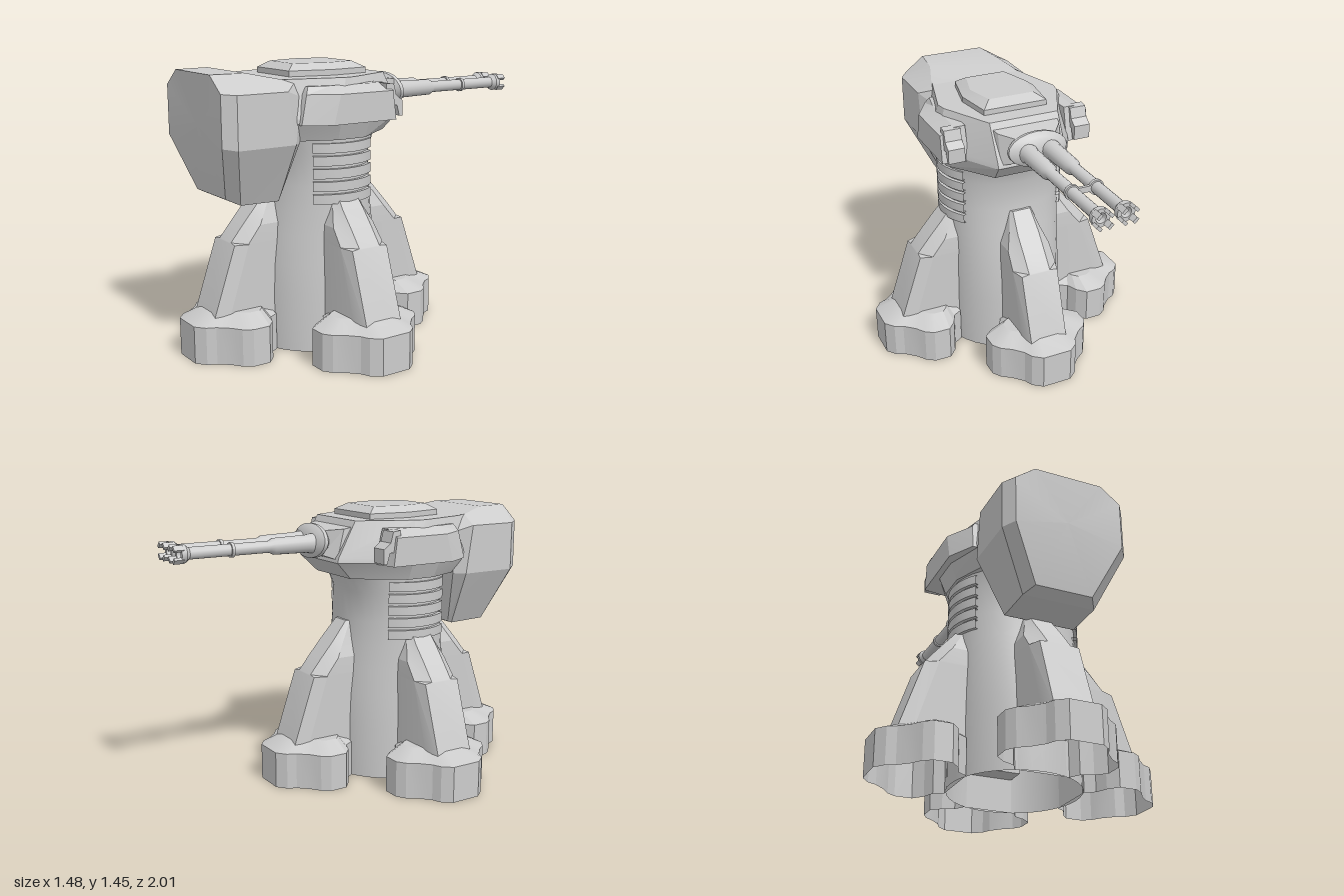
import * as THREE from 'three';
import { toCreasedNormals } from 'three/addons/utils/BufferGeometryUtils.js';

const mat = new THREE.MeshStandardMaterial({ color: 0xcccccc, side: THREE.DoubleSide });
const AXIS = 0.265; // z of the tower axis

// Skins equal-length closed rings of [x, y, z]; caps are fans round the ring centre
function loft(rings, capStart = true, capEnd = true, crease = 0.3) {
  const n = rings[0].length, pos = rings.flat(2), idx = [];
  for (let k = 0; k < rings.length - 1; k++)
    for (let i = 0; i < n; i++) {
      const a = k * n + i, b = k * n + (i + 1) % n;
      idx.push(a, a + n, b, b, a + n, b + n);
    }
  const cap = (k, flip) => {
    const c = pos.length / 3;
    for (let j = 0; j < 3; j++) pos.push(rings[k].reduce((s, p) => s + p[j], 0) / n);
    for (let i = 0; i < n; i++) {
      const a = k * n + i, b = k * n + (i + 1) % n;
      idx.push(c, flip ? b : a, flip ? a : b);
    }
  };
  if (capStart) cap(0, false);
  if (capEnd) cap(rings.length - 1, true);
  const g = new THREE.BufferGeometry();
  g.setAttribute('position', new THREE.Float32BufferAttribute(pos, 3));
  g.setIndex(idx);
  return toCreasedNormals(g, crease);
}

// Completes a half outline with its mirror image in x
const mirrorX = half => [...half, ...half.slice().reverse().map(([x, y, z]) => [-x, y, z])];
// Horizontal half outline [x, z] at height y
const level = (y, half) => mirrorX(half.map(([x, z]) => [x, y, z]));

function add(parent, name, geo, x = 0, y = 0, z = 0) {
  const m = new THREE.Mesh(geo, mat);
  m.name = name;
  m.position.set(x, y, z);
  parent.add(m);
  return m;
}

// Round part turned about the barrel axis, profile of [radius, distance towards -z]
function turned(profile, sides) {
  const g = new THREE.LatheGeometry(profile.map(p => new THREE.Vector2(...p)), sides);
  g.rotateX(-Math.PI / 2);
  return toCreasedNormals(g, 0.6);
}

function addTower(g) {
  // Column: round at the foot, oval above, open underneath; [y, x radius, z radius]
  const rings = [[0, .335, .335], [.3, .335, .335], [.45, .333, .328], [.6, .33, .31], [.72, .33, .292],
    [.85, .33, .277], [1.0, .33, .275], [1.085, .335, .31]].map(([y, rx, rz]) =>
    Array.from({ length: 36 }, (_, i) => {
      const a = i / 36 * Math.PI * 2;
      return [rx * Math.sin(a), y, AXIS + rz * Math.cos(a)];
    }));
  add(g, 'towerColumn', loft(rings, false, true, 0.5));

  // Cooling ribs on both flanks
  for (const side of [1, -1])
    for (let i = 0; i < 5; i++) {
      const y = 0.79 + i * 0.0635, h = 0.024;
      const profile = [[.3, -h], [.348, -h], [.348, h], [.3, h]].map(p => new THREE.Vector2(...p));
      const rib = new THREE.LatheGeometry(profile, 10, side * Math.PI / 2 - 0.62, 1.24);
      rib.scale(1, 1, 0.86);
      add(g, 'coolingRib', toCreasedNormals(rib, 0.5), 0, y, AXIS);
    }
}

function addLegs(g) {
  // Lobed foot outline as [lateral, radial]
  const plan = [[.08, .74], [.13, .70], [.15, .655], [.20, .60], [.25, .565], [.28, .52], [.28, .43],
    [.23, .385], [.17, .36], [.14, .31]];
  const inset = plan.map(([t, r]) => [t * .63, .42 + (r - .42) * .63]);
  const foot = loft([level(0, plan), level(.19, plan), level(.24, inset)], false, true);

  // Buttress sections: [y, side width, side reach, face width, face reach]
  const buttress = loft([[.18, .125, .575, .103, .65], [.57, .125, .45, .103, .518], [.575, .125, .45, .06, .515],
    [.66, .12, .38, .06, .445], [.74, .09, .33, .06, .375], [.84, .06, .27, .05, .29]].map(([y, w, r, fw, fr]) =>
    level(y, [[fw, fr], [w, r], [w, .2]])));

  for (let i = 0; i < 4; i++) {
    const leg = new THREE.Group();
    leg.name = 'leg';
    leg.position.z = AXIS;
    leg.rotation.y = i * Math.PI / 2;
    add(leg, 'foot', foot);
    add(leg, 'buttress', buttress);
    g.add(leg);
  }
}

function addHead(g) {
  add(g, 'turretBody', loft([
    level(1.085, [[.17, -.07], [.345, .17], [.345, .33], [.25, .56]]),
    level(1.175, [[.19, -.16], [.385, .17], [.385, .34], [.28, .64]]),
    level(1.2, [[.19, -.155], [.385, .18], [.385, .33], [.28, .64]]),
    level(1.385, [[.19, -.055], [.325, .22], [.335, .28], [.25, .59]]),
  ]));

  // Roof hatch
  const rim = [[.175, .045], [.205, .265], [.155, .49]];
  add(g, 'roofHatch', loft([level(1.37, rim), level(1.413, rim),
    level(1.445, [[.125, .1], [.16, .265], [.11, .44]])]));

  for (const s of [1, -1]) {
    // Armour box on the flank
    const at = (y, pts) => pts.map(([x, z]) => [s * x, y, z]);
    add(g, 'sideArmour', loft([
      at(1.17, [[.28, .01], [.415, .03], [.415, .40], [.34, .535], [.26, .535]]),
      at(1.315, [[.28, .04], [.415, .05], [.415, .36], [.33, .50], [.26, .50]]),
      at(1.35, [[.28, .05], [.335, .05], [.335, .36], [.31, .48], [.26, .48]]),
    ]));
    // Notched bracket ahead of the armour box
    const outline = [[.08, 1.35], [.035, 1.345], [.02, 1.29], [-.02, 1.26], [-.02, 1.185], [.0, 1.185],
      [.015, 1.24], [.08, 1.24]].map(([z, y]) => new THREE.Vector2(-z, y));
    const bracket = new THREE.ExtrudeGeometry(new THREE.Shape(outline), { depth: .09, bevelEnabled: false });
    bracket.rotateY(Math.PI / 2);
    add(g, 'sideBracket', bracket, s > 0 ? .31 : -.40);
  }

  // Counterweight: angular sections from the face to the back
  add(g, 'counterweight', loft([
    [[.18, 1.42, .93], [.285, 1.34, .93], [.285, 1.09, .93], [.15, .82, .85]],
    [[.2, 1.42, .75], [.33, 1.335, .87], [.33, 1.08, .87], [.19, .79, .79]],
    [[.25, 1.388, .6], [.33, 1.335, .6], [.33, 1.08, .56], [.19, .785, .58]],
    [[.24, 1.38, .5], [.28, 1.3, .5], [.28, 1.08, .51], [.17, .79, .57]],
  ].map(mirrorX)));
}

function addGuns(g) {
  // Neck and tilted oval collar
  add(g, 'gunNeck', loft([
    [[.19, 1.36, -.03], [.2, 1.19, -.06]],
    [[.17, 1.345, -.11], [.17, 1.19, -.15]],
    [[.1, 1.335, -.2], [.1, 1.21, -.2]],
  ].map(mirrorX)));
  const collar = turned([[0, -.03], [.13, -.03], [.16, -.008], [.16, .012], [.12, .035], [0, .035]], 20);
  collar.scale(1, .56, 1);
  add(g, 'gunCollar', collar, 0, 1.275, -.205).rotation.x = 0.15;

  // Twin barrels with four-pronged muzzles
  for (const s of [1, -1]) {
    const gun = new THREE.Group();
    gun.name = 'gun';
    gun.position.set(s * .063, 1.27, 0);
    add(gun, 'barrel', turned([[0, .2], [.05, .2], [.05, .25], [.046, .27], [.042, .46], [.03, .485],
      [.03, .915], [.046, .935], [.046, .962], [.026, .962], [.02, .93], [0, .93]], 16));
    for (let i = 0; i < 4; i++) {
      const a = Math.PI / 4 + i * Math.PI / 2;
      const prong = add(gun, 'muzzleProng', new THREE.BoxGeometry(.016, .03, .05),
        .04 * Math.cos(a), .04 * Math.sin(a), -.975);
      prong.rotation.z = a;
    }
    add(gun, 'barrelRing', turned([[.03, .682], [.038, .682], [.038, .698], [.03, .698]], 16));
    g.add(gun);
  }
  add(g, 'barrelBrace', new THREE.BoxGeometry(.1, .03, .016), 0, 1.27, -.69);
}

export function createModel() {
  const model = new THREE.Group();
  model.name = 'gunTurret';
  for (const [name, build] of [['tower', addTower], ['legs', addLegs], ['head', addHead], ['guns', addGuns]]) {
    const part = new THREE.Group();
    part.name = name;
    build(part);
    model.add(part);
  }
  return model;
}
